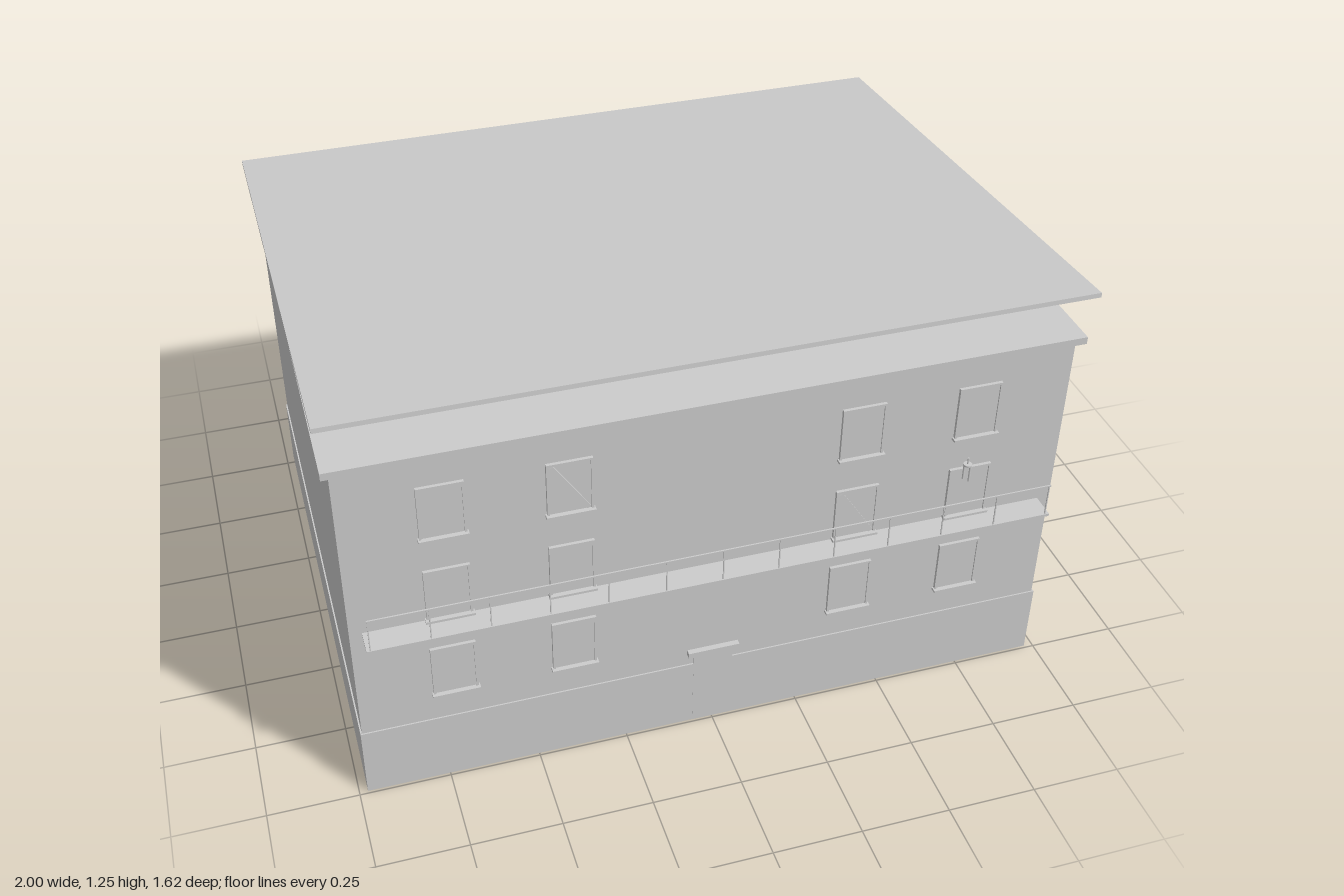
import * as THREE from 'three';

export function createModel() {
  const model = new THREE.Group();
  model.name = 'building';
  const plaster = new THREE.MeshStandardMaterial({ color: 0xcccccc });
  plaster.name = 'plain grey';

  // Box given by its limits on each axis
  const box = (name, x0, x1, y0, y1, z0, z1, parent = model) => {
    const mesh = new THREE.Mesh(new THREE.BoxGeometry(x1 - x0, y1 - y0, z1 - z0), plaster);
    mesh.position.set((x0 + x1) / 2, (y0 + y1) / 2, (z0 + z1) / 2);
    mesh.name = name;
    parent.add(mesh);
    return mesh;
  };
  const rod = (name, radius, length, x, y, z, parent = model) => {
    const mesh = new THREE.Mesh(new THREE.CylinderGeometry(radius, radius, length, 10), plaster);
    mesh.position.set(x, y, z);
    mesh.name = name;
    parent.add(mesh);
    return mesh;
  };

  // Main body, plinth and cornice
  box('walls', -0.973, 0.97, 0.215, 1.09, -0.78, 0.738);
  box('plinth', -0.977, 0.975, 0, 0.217, -0.783, 0.742);
  box('cornice', -0.993, 0.99, 1.09, 1.111, -0.802, 0.758);

  // Tilted roof slab, raised at the front
  const roof = box('roof', -1, 1, 1.171, 1.184, -0.812, 0.772);
  roof.rotation.x = -0.0855;

  // Windows: frame, pane and sill
  const frontZ = 0.738;
  const addWindow = (x, y) => {
    const unit = new THREE.Group();
    unit.name = 'window';
    const w = 0.06, h = 0.162, t = 0.006;
    box('pane', x - w, x + w, y, y + h, frontZ - 0.01, frontZ + 0.005, unit);
    for (const s of [-1, 1]) {
      const a = x + s * w, b = x + s * (w - t);
      box('frameSide', Math.min(a, b), Math.max(a, b), y, y + h, frontZ, frontZ + 0.009, unit);
    }
    box('frameTop', x - w + t, x + w - t, y + h - t, y + h, frontZ, frontZ + 0.009, unit);
    box('sill', x - w - 0.004, x + w + 0.004, y - 0.003, y + 0.004, frontZ, frontZ + 0.018, unit);
    model.add(unit);
  };
  for (const y of [0.31, 0.576, 0.842]) {
    for (const x of [-0.715, -0.392, 0.387, 0.711]) addWindow(x, y);
  }

  // Planks nailed diagonally over two windows
  for (const [x, y] of [[-0.392, 0.923], [0.387, 0.657]]) {
    const plank = box('plank', x - 0.006, x + 0.006, y - 0.086, y + 0.086, frontZ + 0.005, frontZ + 0.01);
    plank.rotation.z = 0.58;
  }

  // Balcony with thin railing
  const balcony = new THREE.Group();
  balcony.name = 'balcony';
  model.add(balcony);
  box('balconyFloor', -0.94, 0.935, 0.564, 0.572, frontZ, 0.809, balcony);
  box('handrail', -0.932, 0.928, 0.667, 0.671, 0.803, 0.807, balcony);
  for (let i = 0; i <= 12; i++) {
    const x = -0.93 + i * 0.1545;
    box('railPost', x - 0.0015, x + 0.0015, 0.572, 0.668, 0.8035, 0.8065, balcony);
  }

  // Door surround and small canopy
  box('doorSurround', -0.057, 0.055, 0, 0.25, 0.7, 0.7425);
  box('canopy', -0.075, 0.071, 0.254, 0.27, frontZ, 0.754);
  box('canopyBase', -0.062, 0.06, 0.247, 0.255, frontZ, 0.748);

  // Small lantern hanging above the balcony
  const lantern = new THREE.Group();
  lantern.name = 'lantern';
  model.add(lantern);
  rod('lanternCap', 0.012, 0.005, 0.678, 0.783, 0.785, lantern);
  rod('lanternTip', 0.002, 0.02, 0.678, 0.795, 0.785, lantern);
  for (const s of [-1, 1]) {
    rod('lanternStem', 0.003, 0.05, 0.678 + s * 0.005, 0.757, 0.785 + s * 0.007, lantern);
  }

  return model;
}
